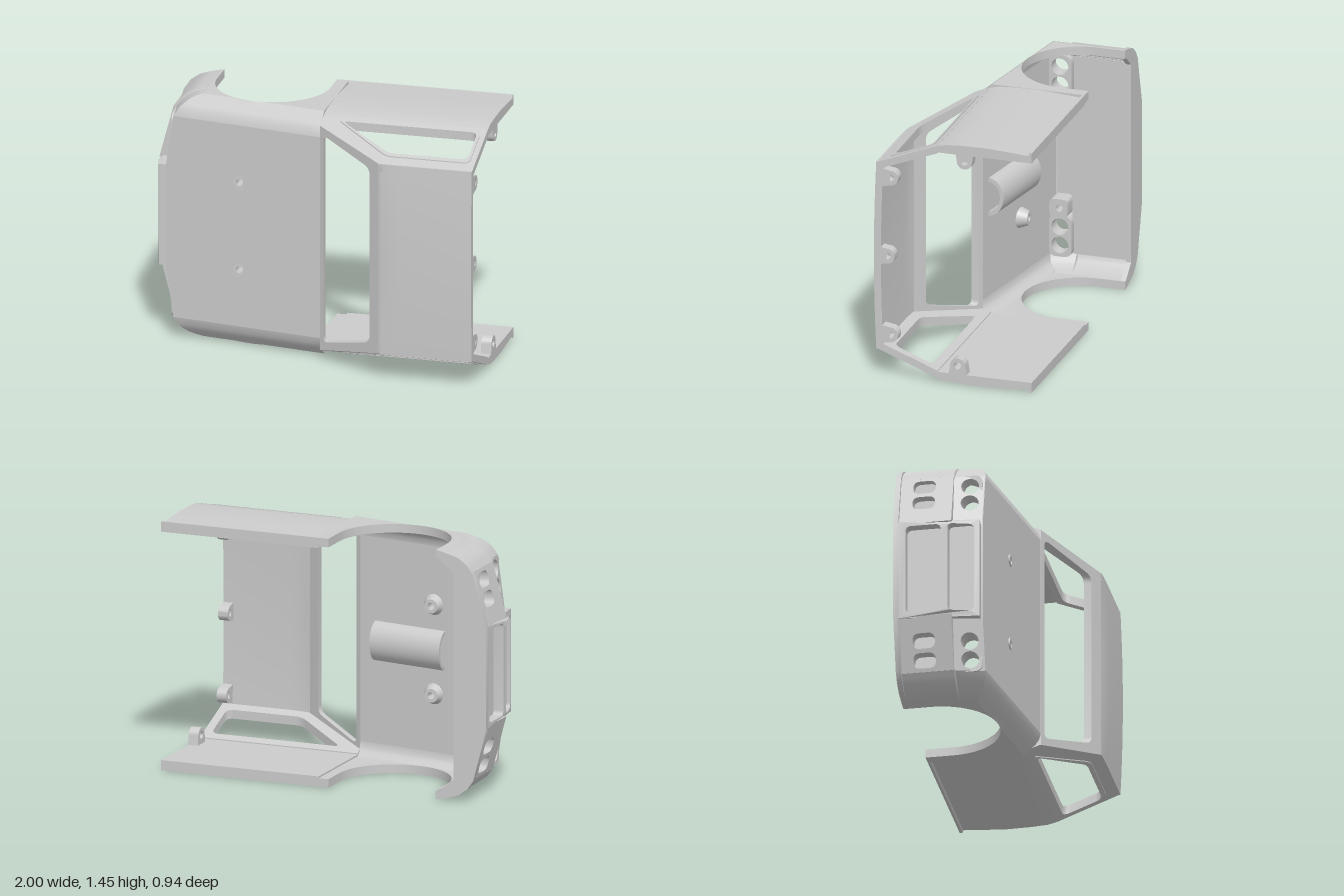
import * as THREE from 'three';
import { toCreasedNormals } from 'three/addons/utils/BufferGeometryUtils.js';

// Half a vehicle shell lying on its side: nose at -x, roof at +z, width along y.
const V2 = (a, b) => new THREE.Vector2(a, b);
const lerp = THREE.MathUtils.lerp;
const hoodZ = x => 0.02 + (x + 0.94) * 0.163;
const glassZ = x => 0.18 + (x - 0.04) * 0.643;
const sideW = z => 0.7 - (z - 0.1) * 0.386;

// Piecewise-linear curve through [position, value] pairs
const curve = pts => w => {
  for (let i = 1; i < pts.length; i++) {
    const [a, b] = [pts[i - 1], pts[i]];
    if (w <= b[0]) return lerp(a[1], b[1], (w - a[0]) / (b[0] - a[0]));
  }
  return pts[pts.length - 1][1];
};
const noseTop = curve([[0, -0.9], [0.3, -0.9], [0.6, -0.855], [0.655, -0.82], [0.69, -0.78], [0.71, -0.745], [0.725, -0.7]]);
const noseLow = curve([[0, -0.98], [0.3, -0.98], [0.6, -0.9], [0.65, -0.865], [0.69, -0.81], [0.71, -0.765], [0.725, -0.7]]);

// Turns a closed solid right side out and gives it creased normals
function finish(geo, crease = 0.6) {
  const g = geo.index ? geo.toNonIndexed() : geo;
  const p = g.attributes.position;
  const a = new THREE.Vector3(), b = new THREE.Vector3(), c = new THREE.Vector3();
  let vol = 0;
  for (let i = 0; i < p.count; i += 3) {
    a.fromBufferAttribute(p, i); b.fromBufferAttribute(p, i + 1); c.fromBufferAttribute(p, i + 2);
    vol += a.dot(b.cross(c));
  }
  if (vol < 0) for (let i = 0; i < p.count; i += 3) {
    b.fromBufferAttribute(p, i + 1); c.fromBufferAttribute(p, i + 2);
    p.setXYZ(i + 1, c.x, c.y, c.z); p.setXYZ(i + 2, b.x, b.y, b.z);
  }
  const clean = new THREE.BufferGeometry();
  clean.setAttribute('position', p);
  return toCreasedNormals(clean, crease);
}

// Closed slab between an outer and an inner grid of points
function slab(outer, inner) {
  const R = outer.length, C = outer[0].length, idx = [];
  const pos = [...outer.flat(2), ...inner.flat(2)];
  const o = (r, c) => r * C + c, n = (r, c) => R * C + o(r, c);
  const quad = (a, b, c, d) => idx.push(a, b, c, a, c, d);
  for (let r = 0; r < R - 1; r++) for (let c = 0; c < C - 1; c++) {
    quad(o(r, c), o(r + 1, c), o(r + 1, c + 1), o(r, c + 1));
    quad(n(r, c), n(r, c + 1), n(r + 1, c + 1), n(r + 1, c));
  }
  for (let r = 0; r < R - 1; r++) {
    quad(o(r, 0), n(r, 0), n(r + 1, 0), o(r + 1, 0));
    quad(o(r, C - 1), o(r + 1, C - 1), n(r + 1, C - 1), n(r, C - 1));
  }
  for (let c = 0; c < C - 1; c++) {
    quad(o(0, c), o(0, c + 1), n(0, c + 1), n(0, c));
    quad(o(R - 1, c), n(R - 1, c), n(R - 1, c + 1), o(R - 1, c + 1));
  }
  const g = new THREE.BufferGeometry();
  g.setAttribute('position', new THREE.Float32BufferAttribute(pos, 3));
  g.setIndex(idx);
  return finish(g);
}

// Polygon points with rounded corners
function rounded(pts, r) {
  const path = new THREE.Path();
  pts.forEach((q, i) => {
    const p = V2(...q), a = V2(...pts.at(i - 1)).sub(p), b = V2(...pts[(i + 1) % pts.length]).sub(p);
    const s = p.clone().add(a.setLength(Math.min(r, a.length() / 2.01)));
    const e = p.clone().add(b.setLength(Math.min(r, b.length() / 2.01)));
    i ? path.lineTo(s.x, s.y) : path.moveTo(s.x, s.y);
    path.quadraticCurveTo(p.x, p.y, e.x, e.y);
  });
  return path.getPoints(6);
}
const rect = (a0, b0, a1, b1) => [[a0, b0], [a1, b0], [a1, b1], [a0, b1]];
const circle = (a, b, r) => new THREE.Path().absarc(a, b, r, 0, Math.PI * 2).getPoints(32).slice(0, -1);

// Plate with holes, placed in space by map(a, b, depth)
function plate(outline, holes, depth, map) {
  const s = new THREE.Shape(outline.map(p => (p.isVector2 ? p : V2(...p))));
  s.holes = holes.map(h => new THREE.Path(h));
  const g = new THREE.ExtrudeGeometry(s, { depth, bevelEnabled: false });
  const p = g.attributes.position;
  for (let i = 0; i < p.count; i++) p.setXYZ(i, ...map(p.getX(i), p.getY(i), p.getZ(i)));
  return finish(g);
}

export function createModel() {
  const model = new THREE.Group();
  const mat = new THREE.MeshStandardMaterial({ color: 0xcccccc });
  const add = (name, geo) => {
    const m = new THREE.Mesh(geo, mat);
    m.name = name; m.position.y = 0.725;
    model.add(m);
  };
  const pair = (name, geo) => {
    add(name + 'Upper', geo);
    add(name + 'Lower', finish(geo.clone().scale(1, -1, 1)));
  };
  const box = (x0, x1, w0, w1, z0, z1) => finish(new THREE.BoxGeometry(x1 - x0, w1 - w0, z1 - z0)
    .translate((x0 + x1) / 2, (w0 + w1) / 2, (z0 + z1) / 2));

  // Hood with two screw holes
  const front = [-0.6, -0.3, 0.3, 0.6].map(w => [noseTop(Math.abs(w)), w]);
  add('hood', plate([...front, [0.045, 0.6], [0.045, -0.6]], [circle(-0.45, 0.26, 0.02), circle(-0.45, -0.26, 0.02)],
    0.03, (x, w, d) => [x, w, hoodZ(x) - d]));

  // Fender: rounded shoulder running down to the wheel arch
  const shoulder = [[0.6, 0], [0.64, 0.01], [0.67, 0.03], [0.695, 0.058], [0.712, 0.082], [0.725, 0.1]];
  const rows = [[0.04, -0.47], [-0.03, -0.47]];
  for (let i = 0; i <= 32; i++) {
    const a = (i / 32) * Math.PI;
    rows.push([-0.36 + 0.33 * Math.cos(a), -0.31 + 0.33 * Math.sin(a)]);
  }
  rows.push([-0.69, -0.47], [-0.69, -0.47, 0.5], [-0.69, -0.47, 1]);
  const fender = inset => rows.map(([x, low, t = 0]) => {
    const line = shoulder.map(([w, drop], i) => {
      const px = lerp(x, noseTop(w), t), k = inset * i / 5;
      return [px, w - 0.05 * k, Math.max(hoodZ(px) - drop, low) - 0.03 * (inset - k)];
    });
    const [ex, ew, ez] = line[5];
    return [...line, [ex, ew, lerp(ez, low, 0.5)], [ex, ew, low]];
  });
  pair('fender', slab(fender(0), fender(1)));

  // Door side with a gentle bulge and a sill lip
  const door = inset => [0.03, 1].map(x => [[0.7, 0.1], [0.716, 0.04], [0.722, -0.05], [0.724, -0.2], [0.715, -0.35],
    [0.708, -0.45], [0.725, -0.455], [0.725, -0.47]].map(([w, z]) => [x, inset ? 0.665 : w, z]));
  pair('doorSide', slab(door(0), door(1)));

  // Side window frame, leaning inwards
  const sideHole = [[0.16, 0.135], [0.95, 0.135], [0.95, 0.36], [0.49, 0.36]];
  pair('sideWindowFrame', plate([[0.03, 0.09], [1, 0.09], [1, 0.45], [0.46, 0.45], [0.04, 0.18]],
    [rounded(sideHole, 0.04)], 0.045, (x, z, d) => [x, sideW(z) - d, z]));
  const trim = [[0.13, 0.122], [0.968, 0.122], [0.968, 0.385], [0.48, 0.385]];
  pair('sideWindowTrim', plate(rounded(trim, 0.04), [rounded(sideHole, 0.04)], 0.012,
    (x, z, d) => [x, sideW(z) + 0.006 - d, z]));

  // Windshield frame
  add('windshieldFrame', plate([[0.04, -0.67], [0.46, -0.565], [0.46, 0.565], [0.04, 0.67]],
    [rounded([[0.065, -0.62], [0.39, -0.52], [0.39, 0.52], [0.065, 0.62]], 0.04)], 0.045,
    (x, w, d) => [x, w, glassZ(x) - d]));

  // Crowned roof
  const roof = drop => [0.455, 0.5, 0.58, 1].map((x, r) => Array.from({ length: 17 }, (_, i) => {
    const f = i / 8 - 1;
    return [x, f * 0.567, 0.448 + [0, 0.6, 1, 1][r] * (0.006 + 0.014 * (1 - f * f)) - drop];
  }));
  add('roof', slab(roof(0), roof(0.042)));

  // Headlight panel, lower lamp panel and wraparound corner
  const lamps = [0.43, 0.54];
  pair('headlightPanel', plate([[0.29, -0.15], [0.605, -0.15], [0.605, 0.03], [0.29, 0.022]],
    lamps.map(w => circle(w, -0.05, 0.05)), 0.04,
    (w, z, d) => [-0.9 + (w - 0.3) * 0.15 - 0.03 * (0.03 - z) / 0.17 + d, w, z]));
  pair('lowerLampPanel', plate([[0.29, -0.47], [0.605, -0.47], [0.605, -0.14], [0.29, -0.14]],
    lamps.map(w => rounded(rect(w - 0.043, -0.37, w + 0.043, -0.24), 0.04)), 0.06,
    (w, z, d) => [-0.98 + (w - 0.3) * 0.267 + d, w, z]));
  const corner = inset => [0.6, 0.625, 0.65, 0.67, 0.69, 0.7, 0.71, 0.718, 0.725].map(w => {
    const k = (w - 0.6) / 0.125, top = noseTop(w), low = noseLow(w);
    const drop = curve(shoulder)(w), mid = Math.max(low, top - 0.03 * (1 - k));
    return [[low, -0.47], [low, -0.14], [mid, -0.135], [top, hoodZ(top) - drop]]
      .map(([x, z]) => [x + inset * 0.05 * (1 - k), w - inset * 0.04 * k, z]);
  });
  pair('frontCorner', slab(corner(0), corner(1)));

  // Grille block with two recesses
  add('grilleFrame', plate(rect(-0.3, -0.44, 0.3, 0.015),
    [rounded(rect(-0.27, -0.4, 0.27, -0.2), 0.03), rounded(rect(-0.27, -0.16, 0.27, -0.015), 0.03)], 0.09,
    (w, z, d) => [-0.99 + 0.045 * Math.max(0, (z + 0.15) / 0.165) + d * (z > -0.15 ? 0.8 : 1), w, z]));
  add('grilleBack', box(-0.93, -0.88, -0.3, 0.3, -0.47, 0.015));
  add('lowerFrontWall', box(-0.86, -0.835, -0.6, 0.6, -0.47, -0.11));

  // Bumper valance
  const edge = [0.3, 0.6, 0.65, 0.69, 0.71, 0.725];
  const lip = edge.map(w => [noseLow(w) - 0.02 * (w < 0.7), w]);
  add('bumperValance', plate([...lip, [-0.69, 0.725], [-0.69, 0.69], [-0.8, 0.6], [-0.8, -0.6], [-0.69, -0.69],
    [-0.69, -0.725], ...lip.reverse().map(([x, w]) => [x, -w])], [], 0.03, (x, w, d) => [x, w, -0.47 + d]));

  // Headlight housings and screw tabs behind the nose
  pair('headlightHousing', plate(rounded(rect(0.365, -0.12, 0.61, 0.02), 0.05),
    lamps.map(w => circle(w, -0.05, 0.05)), 0.08, (w, z, d) => [-0.87 + d, w, z]));
  pair('housingTab', plate(rounded(rect(0.26, -0.1, 0.37, 0.01), 0.03), [circle(0.315, -0.05, 0.02)], 0.1,
    (w, z, d) => [-0.88 + d, w, z]));

  // Screw bosses and half-round channel beneath the hood
  const ring = (profile, x, w) => finish(new THREE.LatheGeometry(profile.map(p => V2(...p)), 32)
    .rotateX(Math.PI / 2).translate(x, w, hoodZ(x)));
  pair('hoodBoss', ring([[0.02, -0.08], [0.04, -0.08], [0.065, -0.02], [0.02, -0.02], [0.02, -0.08]], -0.45, 0.26));
  pair('hoodScrewRim', ring([[0.02, -0.01], [0.037, -0.01], [0.037, 0.004], [0.02, 0.004], [0.02, -0.01]], -0.45, 0.26));
  const channel = r => [-0.52, -0.06].map(x => Array.from({ length: 25 }, (_, i) => {
    const a = (i / 24) * Math.PI;
    return [x, r * Math.cos(a), hoodZ(x) - 0.025 - r * 0.8 * Math.sin(a)];
  }));
  add('hoodChannel', slab(channel(0.115), channel(0.09)));

  // Joining bosses along the open end, each with a web to the shell
  const bosses = [[0.475, 0.37, 0, 1], [0, 0.39, 0, 1], [-0.475, 0.37, 0, 1], [0.625, -0.07, 1, 0], [-0.615, -0.03, -1, 0]];
  bosses.forEach(([w, z, dw, dz], i) => {
    const a0 = Math.atan2(dz, dw), pts = [];
    for (let k = 0; k <= 16; k++) {
      const a = a0 + Math.PI / 2 + (k / 16) * Math.PI;
      pts.push([w + 0.045 * Math.cos(a), z + 0.045 * Math.sin(a)]);
    }
    for (const s of [1, -1]) pts.push([w + dw * 0.06 + s * dz * 0.055, z + dz * 0.06 - s * dw * 0.055]);
    add('joiningBoss' + (i + 1), plate(pts, [circle(w, z, 0.021)], 0.06, (a, b, d) => [0.94 + d, a, b]));
  });
  return model;
}
